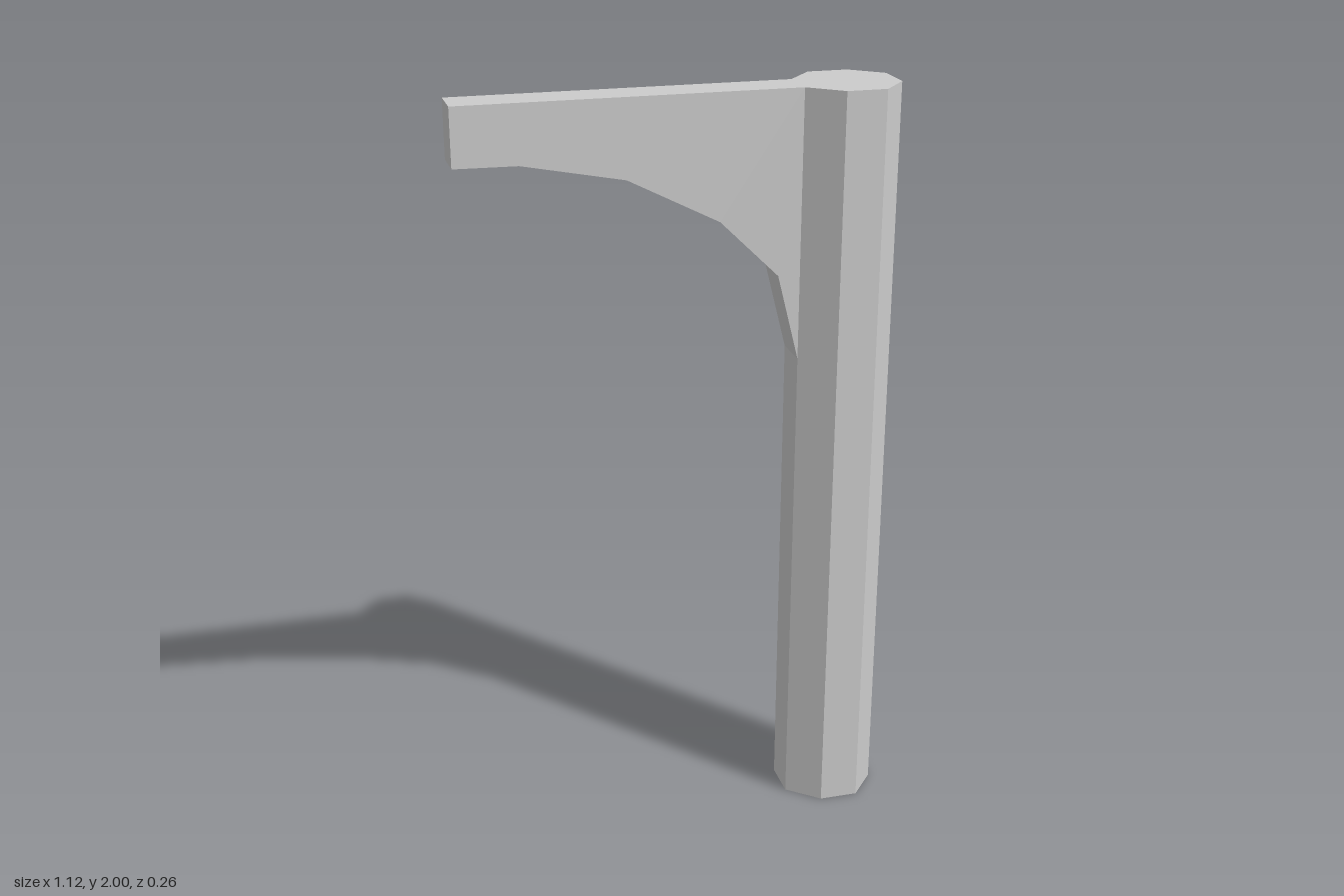
import * as THREE from 'three';

const material = new THREE.MeshStandardMaterial({ color: 0xcccccc, flatShading: true });

// Straight extrusion of a closed 2D outline
function prism(name, points, depth) {
  const shape = new THREE.Shape(points.map(([x, y]) => new THREE.Vector2(x, y)));
  const geometry = new THREE.ExtrudeGeometry(shape, { depth, bevelEnabled: false });
  const mesh = new THREE.Mesh(geometry, material);
  mesh.name = name;
  return mesh;
}

export function createModel() {
  const group = new THREE.Group();
  group.name = 'bracketPost';

  // Slightly turned octagonal post, outline given as x, z
  const octagon = [
    [0.305, -0.048], [0.375, -0.13], [0.48, -0.13], [0.56, -0.062],
    [0.56, 0.046], [0.492, 0.127], [0.388, 0.127], [0.305, 0.057],
  ];
  const post = prism('post', octagon.map(([x, z]) => [x, -z]), 2);
  post.geometry.rotateX(-Math.PI / 2);
  group.add(post);

  // Arm with a curved, faceted underside, butting against the flat side of the post
  const arm = prism('arm', [
    [0.305, 2], [-0.56, 2], [-0.56, 1.853], [-0.4, 1.851],
    [-0.14, 1.8], [0.095, 1.68], [0.248, 1.53], [0.305, 1.305],
  ], 0.105);
  arm.geometry.translate(0, 0, -0.048);
  group.add(arm);

  return group;
}
